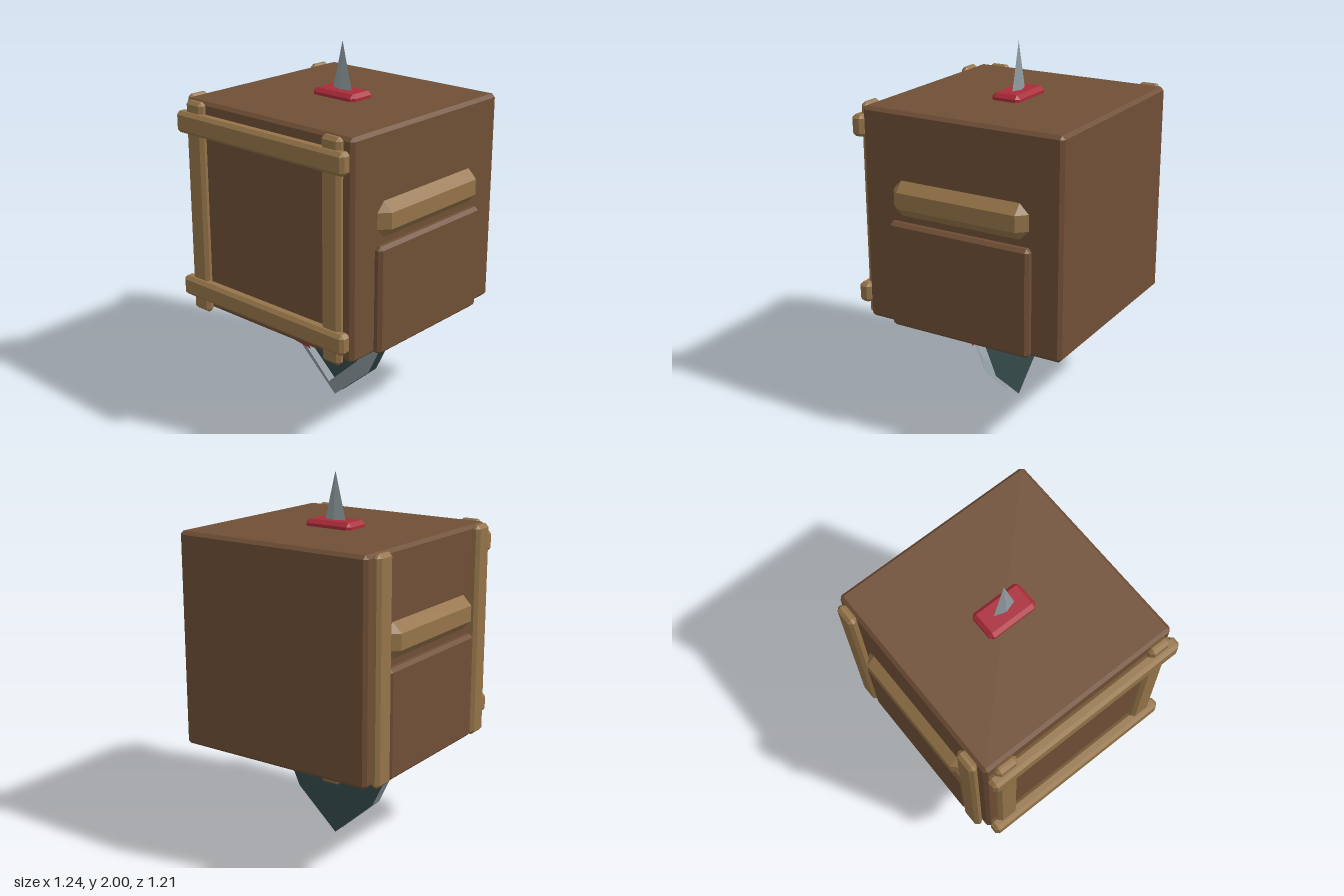
import * as THREE from 'three';
import { ConvexGeometry } from 'three/addons/geometries/ConvexGeometry.js';

function material(name, color, extra = {}) {
  const m = new THREE.MeshStandardMaterial({ color, flatShading: true, ...extra });
  m.name = name;
  return m;
}

// Box between two corners with every edge chamfered by c; topScale narrows the top in x
function chamferBox(min, max, c, topScale = 1) {
  const points = [];
  for (const sx of [0, 1]) for (const sy of [0, 1]) for (const sz of [0, 1]) {
    const s = [sx, sy, sz];
    for (let flat = 0; flat < 3; flat++) {
      const p = s.map((side, i) => {
        const inset = i === flat ? 0 : c;
        return side ? max[i] - inset : min[i] + inset;
      });
      if (sy) p[0] *= topScale;
      points.push(new THREE.Vector3(...p));
    }
  }
  return new ConvexGeometry(points);
}

// Flat outline in the xy plane
function plate(points) {
  return new THREE.ShapeGeometry(new THREE.Shape(points.map(([x, y]) => new THREE.Vector2(x, y))));
}

// Mirror a half outline (listed top to bottom tip) across x = 0
function mirrorOutline(half) {
  return [...half, ...half.slice(0, -1).reverse().map(([x, y]) => [-x, y])];
}

export function createModel() {
  const model = new THREE.Group();
  model.name = 'woodenCrate';
  const both = { side: THREE.DoubleSide };
  const wood = material('darkWood', 0x704f36);
  const trim = material('lightWood', 0x957449);
  const red = material('red', 0xa92b38, both);
  const blue = material('blue', 0x28309a);
  const steel = material('steel', 0x909ca1, both);
  const teal = material('darkTeal', 0x344a49, both);

  const add = (name, geometry, mat) => {
    const mesh = new THREE.Mesh(geometry, mat);
    mesh.name = name;
    model.add(mesh);
    return mesh;
  };

  // Crate body
  add('crateBody', chamferBox([-0.57, 0.575, -0.605], [0.57, 1.715, 0.53], 0.018), wood);

  // Front frame: two rails over two posts
  for (const [y0, y1] of [[0.642, 0.75], [1.547, 1.66]])
    add('frontRail', chamferBox([-0.57, y0, 0.535], [0.57, y1, 0.605], 0.018), trim);
  for (const x of [-0.465, 0.465])
    add('frontPost', chamferBox([x - 0.06, 0.565, 0.527], [x + 0.06, 1.718, 0.577], 0.018), trim);

  // Side handles and raised lower panels, on both sides
  for (const s of [-1, 1]) {
    const x = (a, b) => [Math.min(s * a, s * b), Math.max(s * a, s * b)];
    const [h0, h1] = x(0.46, 0.62);
    add('sideHandle', chamferBox([h0, 1.175, -0.43], [h1, 1.365, 0.355], 0.053), trim);
    const [p0, p1] = x(0.54, 0.608);
    add('sidePanel', chamferBox([p0, 0.575, -0.443], [p1, 1.145, 0.367], 0.018), wood);
    // Dark runner under the crate
    const [r0, r1] = x(0.42, 0.5);
    add('bottomRunner', chamferBox([r0, 0.562, -0.46], [r1, 0.6, 0.39], 0.01), teal);
  }

  // Posts on the right side
  for (const z of [-0.505, 0.425])
    add('rightPost', chamferBox([-0.617, 0.575, z - 0.06], [-0.567, 1.717, z + 0.06], 0.018), trim);

  // Sword running through the crate: blade tip, collar, grip, guard, pommel
  const tip = new THREE.ConeGeometry(1, 0.3, 4, 1);
  tip.scale(0.075, 1, 0.024).translate(0, 1.85, -0.04);
  add('bladeTip', tip, steel);
  add('bladeCollar', chamferBox([-0.142, 1.69, -0.12], [0.142, 1.75, 0.042], 0.02), red);
  add('swordGrip', chamferBox([-0.047, 0.36, -0.086], [0.047, 0.62, 0.018], 0.024), blue);
  add('swordGuard', chamferBox([-0.14, 0.532, -0.16], [0.14, 0.62, -0.05], 0.02), trim);
  add('swordPommel', chamferBox([-0.063, 0.308, -0.102], [0.063, 0.4, 0.024], 0.015, 0.85), trim);

  // Shield: flat back plate and sloping steel rim
  const outer = mirrorOutline([[0.375, 0.8], [0.375, 0.49], [0.245, 0.22], [0, 0]]);
  const inner = mirrorOutline([[0.315, 0.8], [0.315, 0.495], [0.2, 0.29], [0, 0.1]]);
  const back = add('shieldPlate', plate(outer), teal);
  back.position.z = -0.045;

  const corners = [];
  outer.forEach(([x, y], i) => corners.push(x, y, 0.02, inner[i][0], inner[i][1], 0.07));
  const faces = [];
  for (let i = 0; i < outer.length - 1; i++) {
    const a = i * 2;
    faces.push(a, a + 1, a + 2, a + 1, a + 3, a + 2);
  }
  const rim = new THREE.BufferGeometry();
  rim.setAttribute('position', new THREE.Float32BufferAttribute(corners, 3));
  rim.setIndex(faces);
  rim.computeVertexNormals();
  add('shieldRim', rim, steel);

  // Jagged red spikes in front of the shield
  const spikes = [[0.045, 0.62], [0.23, 0.58], [0.11, 0.505], [0.213, 0.462], [0.115, 0.42],
    [0.18, 0.325], [0.06, 0.31], [0.1, 0.355], [0.06, 0.39], [0.06, 0.48]];
  for (const s of [-1, 1]) {
    const mesh = add('shieldSpikes', plate(spikes.map(([x, y]) => [s * x, y])), red);
    mesh.position.z = 0.15;
  }

  return model;
}
